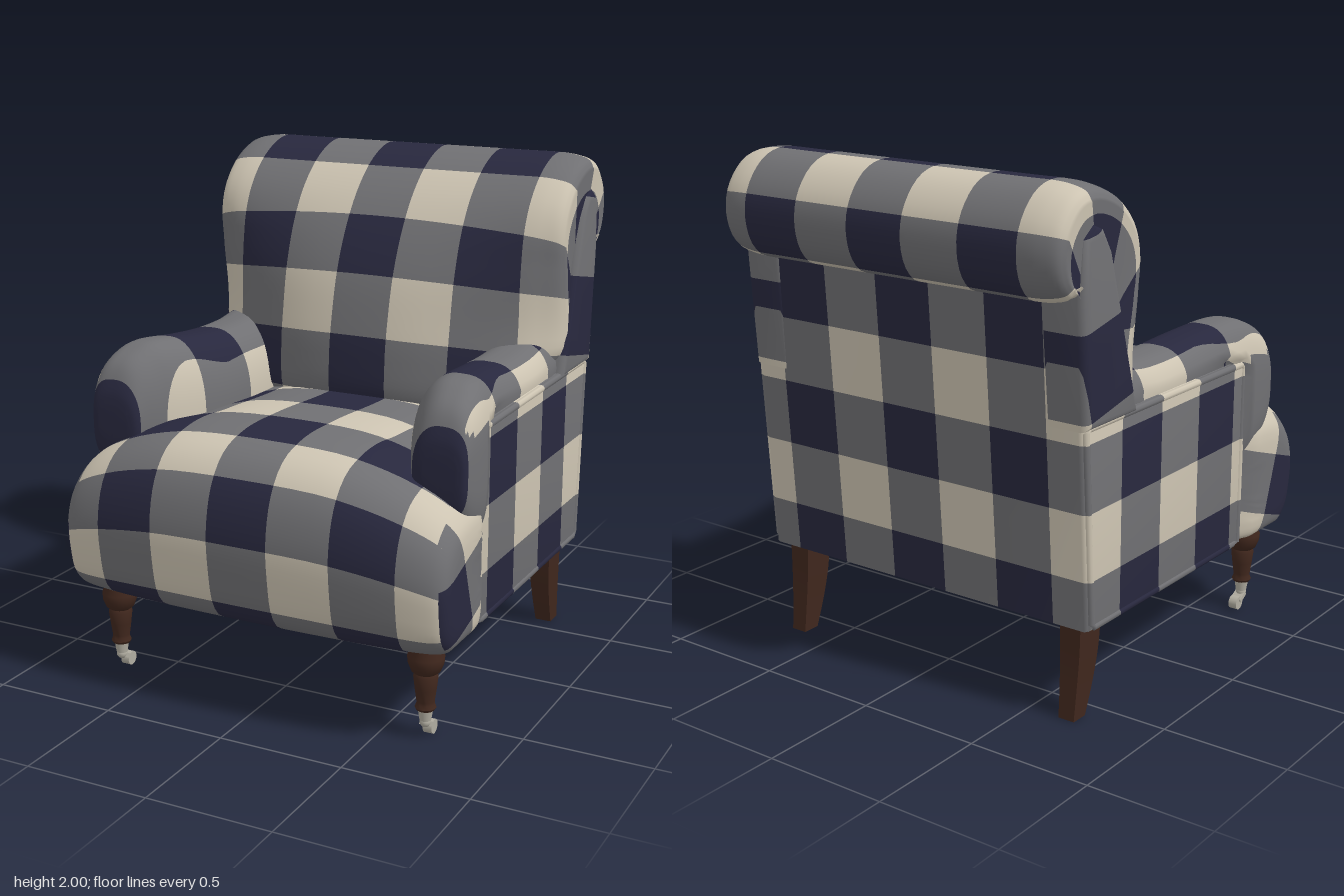
import * as THREE from 'three';
import { toCreasedNormals } from 'three/addons/utils/BufferGeometryUtils.js';

const paint = (name, color) => Object.assign(new THREE.MeshStandardMaterial({ color }), { name });
const navy = paint('navy check', 0x28283e), grey = paint('grey check', 0x707073), cream = paint('cream check', 0xcdc4b2);
const wood = paint('dark wood', 0x40271d), metal = paint('caster metal', 0xb0aca0);
const { smoothstep, clamp } = THREE.MathUtils;

// Fabric coordinates: whole numbers are the check borders, even bands are dark
const wx = x => (x - 0.01) / 0.25 + 0.5, wy = y => (y - 0.83) / 0.26, wz = z => (z - 0.07) / 0.267;
function boxWeave(p, n) {
  const ax = Math.abs(n.x), ay = Math.abs(n.y), az = Math.abs(n.z);
  if (ax >= ay && ax >= az) return [wz(p.z), wy(p.y)];
  return ay > az ? [wx(p.x), wz(p.z)] : [wx(p.x), wy(p.y)];
}
// Dark check of a given size centred on (z, y) and tilted
function tiltWeave(p, z, y, angle, size) {
  const c = Math.cos(angle), s = Math.sin(angle), dz = p.z - z, dy = p.y - y;
  return [(dz * c - dy * s) / size + 0.5, (dz * s + dy * c) / size + 0.5];
}

// Keep the part of a polygon where sign * (v[i] - k) >= 0
function clip(poly, i, k, sign) {
  const out = [];
  poly.forEach((a, j) => {
    const b = poly[(j + 1) % poly.length], da = sign * (a[i] - k), db = sign * (b[i] - k);
    if (da >= 0) out.push(a);
    if (da * db < 0) out.push(a.map((v, m) => v + (b[m] - v) * da / (da - db)));
  });
  return out;
}
function slice(poly, i) {
  const vals = poly.map(v => v[i]), lo = Math.floor(Math.min(...vals) + 1e-6), hi = Math.max(...vals) - 1e-6, out = [];
  for (let k = lo; k === lo || k < hi; k++) {
    const a = k === lo ? poly : clip(poly, i, k, 1);
    const q = k + 1 < hi ? clip(a, i, k + 1, -1) : a;
    if (q.length > 2) out.push(q);
  }
  return out;
}

// Cut a surface along the check borders and give each check its colour; side -1 mirrors it
function checked(name, source, weave, side = 1) {
  const g = source.index ? source.toNonIndexed() : source, { position: P, normal: N, uv: U } = g.attributes;
  const bins = [0, 1, 2].map(() => ({ p: [], n: [] }));
  const tri = new THREE.Triangle(), face = new THREE.Vector3();
  for (let i = 0; i < P.count; i += 3) {
    const pts = [tri.a, tri.b, tri.c].map((v, j) => v.fromBufferAttribute(P, i + j));
    if (tri.getArea() < 1e-9) continue;
    tri.getNormal(face);
    const poly = pts.map((p, j) => [p.x, p.y, p.z, N.getX(i + j), N.getY(i + j), N.getZ(i + j),
      ...weave(p, face, [U.getX(i + j), U.getY(i + j)])]);
    for (const strip of slice(poly, 6)) for (const cell of slice(strip, 7)) {
      const mid = m => Math.floor(cell.reduce((t, v) => t + v[m], 0) / cell.length) & 1;
      const bin = bins[mid(6) + mid(7)];
      for (let j = 1; j < cell.length - 1; j++) {
        const fan = side > 0 ? [cell[0], cell[j], cell[j + 1]] : [cell[0], cell[j + 1], cell[j]];
        fan.forEach(v => { bin.p.push(v[0] * side, v[1], v[2]); bin.n.push(v[3] * side, v[4], v[5]); });
      }
    }
  }
  const geo = new THREE.BufferGeometry();
  geo.setAttribute('position', new THREE.Float32BufferAttribute(bins.flatMap(b => b.p), 3));
  geo.setAttribute('normal', new THREE.Float32BufferAttribute(bins.flatMap(b => b.n), 3));
  let start = 0;
  bins.forEach((b, m) => { geo.addGroup(start, b.p.length / 3, m); start += b.p.length / 3; });
  const mesh = new THREE.Mesh(geo, [navy, grey, cream]);
  mesh.name = name;
  return mesh;
}

// Skin closed rings of points, capping both ends; us and ts are fabric coordinates
function loft(rings, us = [], ts = []) {
  const centre = r => { const c = new THREE.Vector3(); r.forEach(p => c.addScaledVector(p, 1 / r.length)); return r.map(() => c); };
  const all = [centre(rings[0]), ...rings, centre(rings.at(-1))], n = rings[0].length, pos = [], uv = [], idx = [];
  const u = [(us[0] ?? 0) - 1, ...rings.map((_, i) => us[i] ?? 0), (us.at(-1) ?? 0) + 1];
  all.forEach((r, i) => {
    for (let j = 0; j <= n; j++) {
      pos.push(...r[j % n].toArray());
      uv.push(u[i], ts[j] ?? 0);
      if (i && j) {
        const d = i * (n + 1) + j, c = d - 1, b = d - n - 1, a = b - 1;
        idx.push(a, b, c, b, d, c);
      }
    }
  });
  const g = new THREE.BufferGeometry();
  g.setAttribute('position', new THREE.Float32BufferAttribute(pos, 3));
  g.setAttribute('uv', new THREE.Float32BufferAttribute(uv, 2));
  g.setIndex(idx);
  g.computeVertexNormals();
  return g;
}
// Smoothly resample rows of numbers
function resample(rows, n) {
  const f = new THREE.CubicInterpolant(Float32Array.from(rows.keys()), Float32Array.from(rows.flat()), rows[0].length);
  return Array.from({ length: n + 1 }, (_, i) => Array.from(f.evaluate(i / n * (rows.length - 1))));
}
const bothSides = rows => [...rows.slice(1).reverse().map(([x, ...r]) => [-x, ...r]), ...rows];
// Closed smooth [z, y] outline with running length from an anchor and inward direction
function outline(pts, n, anchor) {
  const c = new THREE.CatmullRomCurve3(pts.map(([z, y]) => new THREE.Vector3(0, y, z)), true);
  const loop = c.getSpacedPoints(n), from = loop.map(p => Math.hypot(p.z - anchor[0], p.y - anchor[1]));
  const near = from.indexOf(Math.min(...from));
  const ts = loop.map((_, j) => (j - near) * c.getLength() / n / 0.25);
  const inward = loop.map((_, j) => { const t = c.getTangentAt(j / n); return new THREE.Vector3(0, -t.z, t.y); });
  return { loop: loop.slice(0, n), ts, inward };
}
// Bevelled slab with a [z, y] outline between two x positions
function slab(pts, x0, x1, b = 0.02) {
  const g = new THREE.ExtrudeGeometry(new THREE.Shape(pts.map(([z, y]) => new THREE.Vector2(-z, y))),
    { depth: x1 - x0 - 2 * b, bevelThickness: b, bevelSize: b, bevelOffset: -b, bevelSegments: 3 });
  return toCreasedNormals(g.rotateY(Math.PI / 2).translate(x0 + b, 0, 0), 0.7);
}

function makeSeat() {
  const o = outline([[-0.62, 0.42], [-0.62, 0.95], [-0.4, 1.03], [0, 1.05], [0.35, 1.07], [0.6, 1.065], [0.75, 1.02], [0.84, 0.92],
    [0.885, 0.76], [0.878, 0.6], [0.845, 0.45], [0.78, 0.378], [0.7, 0.375], [0.3, 0.375], [-0.5, 0.375]], 90, [0.4, 1.07]);
  // half width, top, front, bottom, shrink; the last rows close the flat sides
  const rows = resample(bothSides([[0, 1.07, 0.885, 0.375], [0.3, 1.06, 0.88, 0.375], [0.5, 1.02, 0.868, 0.375], [0.65, 0.965, 0.85, 0.375],
    [0.74, 0.915, 0.83, 0.378], [0.785, 0.87, 0.81, 0.39], [0.805, 0.83, 0.785, 0.42], [0.812, 0.78, 0.75, 0.47]]), 42).map(r => [...r, 1]);
  for (const k of [0.85, 0.7, 0.55, 0.4, 0.25, 0.12]) {
    rows.push([...rows.at(-1).slice(0, 4), k]);
    rows.unshift([...rows[0].slice(0, 4), k]);
  }
  const rings = rows.map(([x, top, front, low, k]) => o.loop.map(p => {
    const y = low + (p.y - 0.375) / 0.695 * (top - low), z = p.z > 0.4 ? 0.4 + (p.z - 0.4) * (front - 0.4) / 0.485 : p.z;
    const zk = 0.25 + (z - 0.25) * k;
    return new THREE.Vector3(x * (0.88 + 0.12 * smoothstep(zk, 0.3, 0.5)), 0.65 + (y - 0.65) * k, zk);
  }));
  return checked('seat', loft(rings, [], o.ts.map(t => t + 0.17 * smoothstep(t, 1, 1.9))),
    (p, n, uv) => Math.abs(n.x) > 0.62 ? tiltWeave(p, 0.72, 0.55, 0.32, 0.25) : [wx(p.x), uv[1]]);
}

function makeBackCushion() {
  const o = outline([[-0.64, 0.98], [-0.7, 1.3], [-0.735, 1.6], [-0.79, 1.6], [-0.855, 1.66], [-0.885, 1.77], [-0.86, 1.88], [-0.77, 1.975],
    [-0.65, 2], [-0.5, 1.955], [-0.36, 1.85], [-0.25, 1.71], [-0.165, 1.54], [-0.115, 1.36], [-0.09, 1.2], [-0.1, 1.02], [-0.2, 0.96]], 90, [-0.165, 1.54]);
  // half width, backward bow of the front, edge rounding
  const rows = resample(bothSides([[0, 0, 0], [0.25, 0.02, 0], [0.5, 0.1, 0], [0.64, 0.17, 0], [0.71, 0.22, 0.008], [0.76, 0.26, 0.025], [0.782, 0.28, 0.06]]), 42);
  const rings = rows.map(([x, bow, inset]) => o.loop.map((q, j) => {
    const p = q.clone().addScaledVector(o.inward[j], inset);
    p.x = x * (1 - 0.12 * (1 - smoothstep(q.y, 1.1, 1.26)) * (x / 0.78) ** 4);
    p.z -= bow * (1 - smoothstep(q.y, 1.25, 2)) * clamp((q.z + 0.7) / 0.5, 0, 1);
    return p;
  }));
  const us = rows.map(([x, , inset]) => wx(x + Math.sign(x) * inset));
  // rows of checks sag a little towards the sides of the front
  return checked('back cushion', loft(rings, us, o.ts.map(t => t + 1)),
    (p, n, [u, t]) => [u, t - 0.17 * (p.x / 0.65) ** 2 * smoothstep(t, -1, 0)]);
}

function makeArm(side) {
  // z, inner x, outer x, bottom, top
  const rows = resample([[-0.55, 0.48, 0.74, 0.8, 1.25], [-0.4, 0.44, 0.765, 0.75, 1.305], [-0.2, 0.43, 0.775, 0.72, 1.28], [0, 0.43, 0.775, 0.72, 1.28],
    [0.2, 0.445, 0.78, 0.7, 1.295], [0.4, 0.49, 0.805, 0.7, 1.312], [0.5, 0.53, 0.812, 0.74, 1.285], [0.57, 0.565, 0.805, 0.8, 1.235],
    [0.61, 0.59, 0.79, 0.88, 1.15], [0.62, 0.63, 0.76, 0.96, 1.08]], 40);
  // squarer outside than inside, tucked behind the side panel below its top edge
  const rings = rows.map(([z, a, b, low, top]) => Array.from({ length: 48 }, (_, j) => {
    const t = j / 48 * Math.PI * 2 - Math.PI / 2, c = Math.cos(t), s = Math.sin(t), e = c > 0 ? 0.65 : 0.9;
    const x = (a + b) / 2 + (b - a) / 2 * Math.sign(c) * Math.abs(c) ** e;
    const y = (low + top) / 2 + (top - low) / 2 * Math.sign(s) * Math.abs(s) ** e;
    return new THREE.Vector3(y < 1.165 && z < 0.42 ? Math.min(x, 0.755) : x, y, z);
  }));
  const weave = p => {
    const s = (p.x - 0.465 - 0.06 * smoothstep(p.z, 0.1, 0.4)) / 0.25;
    return [p.y < 1.17 && p.z > 0.4 ? Math.min(s, 0.98) : s, p.z / 0.298];
  };
  return checked('arm', loft(rings), weave, side);
}

function makeFrontLeg(x) {
  const leg = new THREE.Group();
  leg.name = 'front leg';
  const add = (name, g, m, y = 0, z = 0) => {
    const mesh = new THREE.Mesh(g, m);
    mesh.name = name;
    mesh.position.set(0, y, z);
    leg.add(mesh);
  };
  const turned = [[0, 0.115], [0.034, 0.115], [0.04, 0.125], [0.034, 0.14], [0.034, 0.15], [0.041, 0.2], [0.047, 0.25], [0.042, 0.262],
    [0.055, 0.272], [0.068, 0.305], [0.07, 0.33], [0.058, 0.36], [0.062, 0.39]];
  add('turned post', toCreasedNormals(new THREE.LatheGeometry(turned.map(p => new THREE.Vector2(...p)), 24), 0.8), wood);
  add('caster cup', new THREE.CylinderGeometry(0.029, 0.022, 0.045, 20), metal, 0.095);
  add('caster neck', new THREE.SphereGeometry(0.022, 16, 10), metal, 0.065);
  add('caster fork', new THREE.BoxGeometry(0.045, 0.018, 0.05).rotateX(-0.5), metal, 0.048, -0.02);
  add('caster wheel', new THREE.CylinderGeometry(0.028, 0.028, 0.036, 20).rotateZ(Math.PI / 2), metal, 0.028, -0.045);
  leg.position.set(x, 0, 0.65);
  return leg;
}

function makeBackLeg(x) {
  // y, back z, front z, half width
  const rows = resample([[0, -0.652, -0.578, 0.034], [0.13, -0.64, -0.535, 0.038], [0.26, -0.632, -0.508, 0.043], [0.4, -0.63, -0.498, 0.046]], 10);
  const rings = rows.map(([y, b, f, w]) => [[-w, f], [w, f], [w, b], [-w, b]].map(([px, z]) => new THREE.Vector3(px, y, z)));
  const mesh = new THREE.Mesh(toCreasedNormals(loft(rings), 0.6), wood);
  mesh.name = 'back leg';
  mesh.position.x = x;
  return mesh;
}

export function createModel() {
  const chair = new THREE.Group();
  chair.name = 'armchair';
  chair.add(makeSeat(), makeBackCushion());
  chair.add(checked('back panel', slab([[-0.5, 0.375], [-0.66, 0.375], [-0.74, 1.63], [-0.6, 1.63]], -0.77, 0.77), boxWeave));
  const panel = [[0.42, 0.375], [0.42, 1.15], [-0.705, 1.16], [-0.655, 0.375]];
  const wing = [[-0.38, 1.14], [-0.43, 1.32], [-0.5, 1.56], [-0.56, 1.76], [-0.61, 1.84], [-0.67, 1.865], [-0.73, 1.82], [-0.742, 1.6], [-0.71, 1.14]];
  const path = new THREE.CatmullRomCurve3(panel.map(([z, y]) => new THREE.Vector3(0.767, y + (y < 1 ? 0.014 : -0.014), z * 0.975)), true, 'catmullrom', 0);
  for (const side of [1, -1]) {
    chair.add(makeArm(side));
    chair.add(checked('side panel', slab(panel, 0.6, 0.775), boxWeave, side));
    chair.add(checked('side piping', new THREE.TubeGeometry(path, 120, 0.015, 8, true), p => [wz(p.z), wy(p.y)], side));
    chair.add(checked('back wing', slab(wing, 0.6, 0.792, 0.03), p => tiltWeave(p, -0.56, 1.36, -0.2, 0.32), side));
    chair.add(makeFrontLeg(side * 0.67), makeBackLeg(side * 0.67));
  }
  return chair;
}
